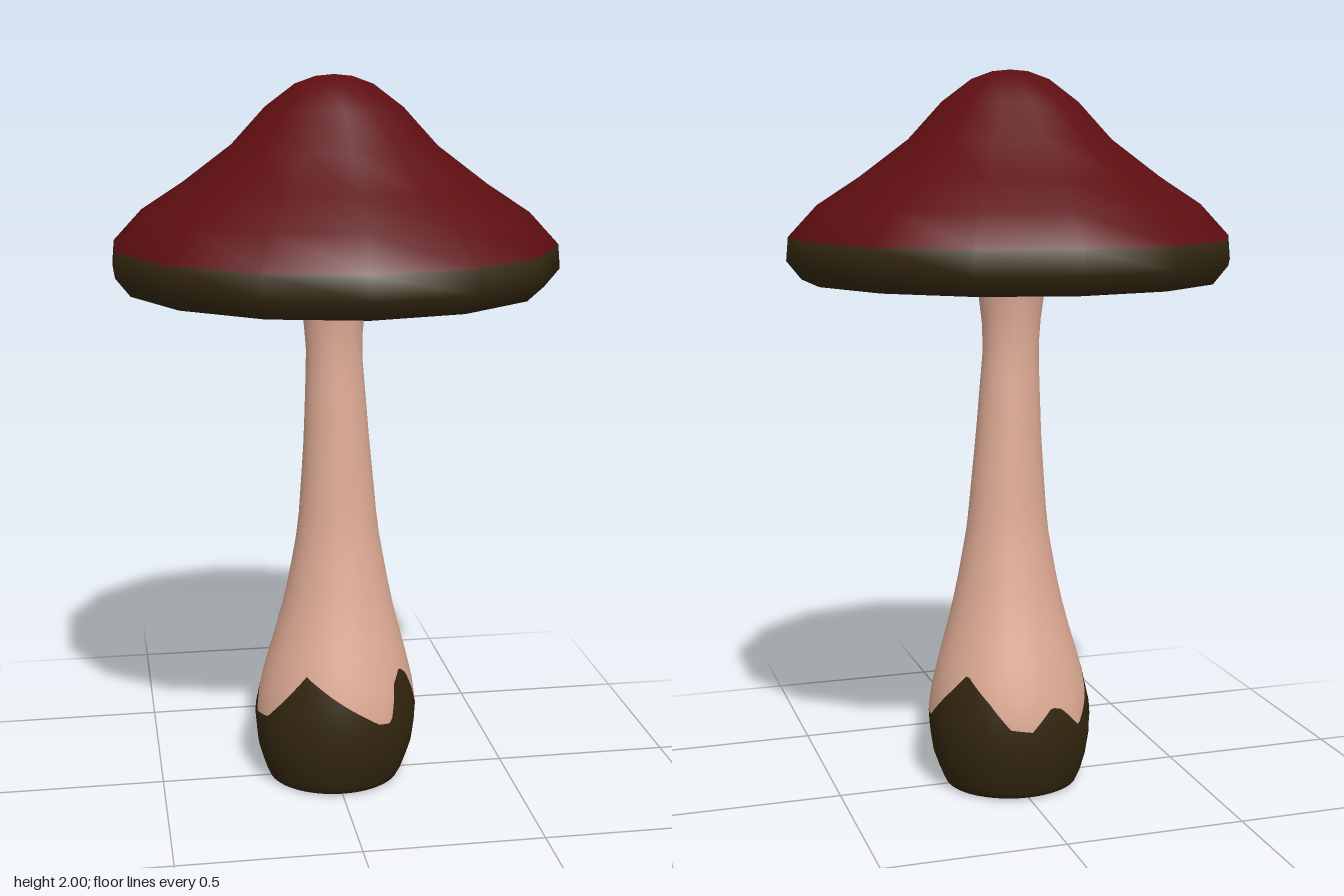
import * as THREE from 'three';

const red = new THREE.MeshStandardMaterial({ name: 'capRed', color: 0x5e0e11 });
const olive = new THREE.MeshStandardMaterial({ name: 'darkOlive', color: 0x33260f });
const pink = new THREE.MeshStandardMaterial({ name: 'stemPink', color: 0xdfab95 });

// Linear lookup in a list of [key, value] pairs
function lookup(table, key) {
  for (let i = 1; i < table.length; i++) {
    const [k0, v0] = table[i - 1], [k1, v1] = table[i];
    if (key <= k1) return THREE.MathUtils.lerp(v0, v1, (key - k0) / (k1 - k0));
  }
  return table[table.length - 1][1];
}

// Cap: one smooth 14-sided lathe, coloured in bands of profile segments
function createCap() {
  const sides = 14;
  const profile = [
    [0, 1.55], [0.09, 1.53], [0.15, 1.495], [0.3, 1.475], [0.49, 1.445],
    [0.57, 1.44], [0.61, 1.49], [0.604, 1.555],
    [0.525, 1.64], [0.41, 1.715], [0.277, 1.815], [0.185, 1.915],
    [0.105, 1.975], [0.05, 1.995], [0, 2.0],
  ].map(([r, y]) => new THREE.Vector2(r, y));
  const geometry = new THREE.LatheGeometry(profile, sides);
  const bands = [[0, 4, 0], [4, 7, 1], [7, profile.length - 1, 0]];
  const perSide = profile.length - 1;
  for (let s = 0; s < sides; s++) {
    for (const [from, to, material] of bands) {
      geometry.addGroup((s * perSide + from) * 6, (to - from) * 6, material);
    }
  }
  const cap = new THREE.Mesh(geometry, [red, olive]);
  cap.name = 'cap';
  return cap;
}

// Stem: rings of vertices, with one ring following the jagged soil line
function createStem() {
  const columns = 120, top = 1.53;
  const radius = [
    [0, 0.185], [0.03, 0.2], [0.1, 0.223], [0.2, 0.234], [0.28, 0.222], [0.38, 0.196],
    [0.5, 0.162], [0.6, 0.14], [0.75, 0.113], [1, 0.092], [1.25, 0.077],
    [1.35, 0.083], [1.45, 0.1], [1.53, 0.125],
  ];
  const soilLine = [
    [0, 0.28], [24, 0.22], [35, 0.215], [42, 0.32], [52, 0.355], [62, 0.33],
    [77, 0.215], [90, 0.215], [106, 0.27], [130, 0.36], [150, 0.29], [165, 0.22],
    [180, 0.21], [196, 0.27], [205, 0.26], [220, 0.2], [235, 0.25], [253, 0.34],
    [265, 0.3], [275, 0.21], [295, 0.22], [310, 0.28], [327, 0.36], [340, 0.33], [360, 0.28],
  ];
  const lower = [0, 0.1, 0.25, 0.45, 0.7, 1];
  const upperRows = 18;
  const positions = [], indices = [];

  const addRing = (heightAt, scale = 1) => {
    for (let c = 0; c < columns; c++) {
      const a = (c / columns) * Math.PI * 2;
      const y = heightAt(lookup(soilLine, (c / columns) * 360));
      const r = lookup(radius, y) * scale;
      const lean = 0.012 * Math.sin(Math.PI * Math.min(y / 1.3, 1));
      positions.push(r * Math.sin(a) + lean, y, r * Math.cos(a) * 0.94 - 0.008);
    }
  };

  addRing(() => 0, 0.001);
  addRing(() => 0, 0.85);
  for (const f of lower) addRing((h) => Math.max(h * f, 0.006));
  for (let i = 1; i <= upperRows; i++) {
    addRing((h) => THREE.MathUtils.lerp(h, top, i / upperRows));
  }

  const rings = positions.length / 3 / columns;
  for (let r = 0; r < rings - 1; r++) {
    for (let c = 0; c < columns; c++) {
      const n = (c + 1) % columns;
      const a = r * columns + c, b = r * columns + n;
      indices.push(a, b, b + columns, a, b + columns, a + columns);
    }
  }

  const geometry = new THREE.BufferGeometry();
  geometry.setAttribute('position', new THREE.Float32BufferAttribute(positions, 3));
  geometry.setIndex(indices);
  geometry.computeVertexNormals();
  const soilCount = (lower.length + 1) * columns * 6;
  geometry.addGroup(0, soilCount, 0);
  geometry.addGroup(soilCount, indices.length - soilCount, 1);
  const stem = new THREE.Mesh(geometry, [olive, pink]);
  stem.name = 'stem';
  return stem;
}

export function createModel() {
  const model = new THREE.Group();
  model.name = 'mushroom';
  model.add(createStem(), createCap());
  return model;
}
